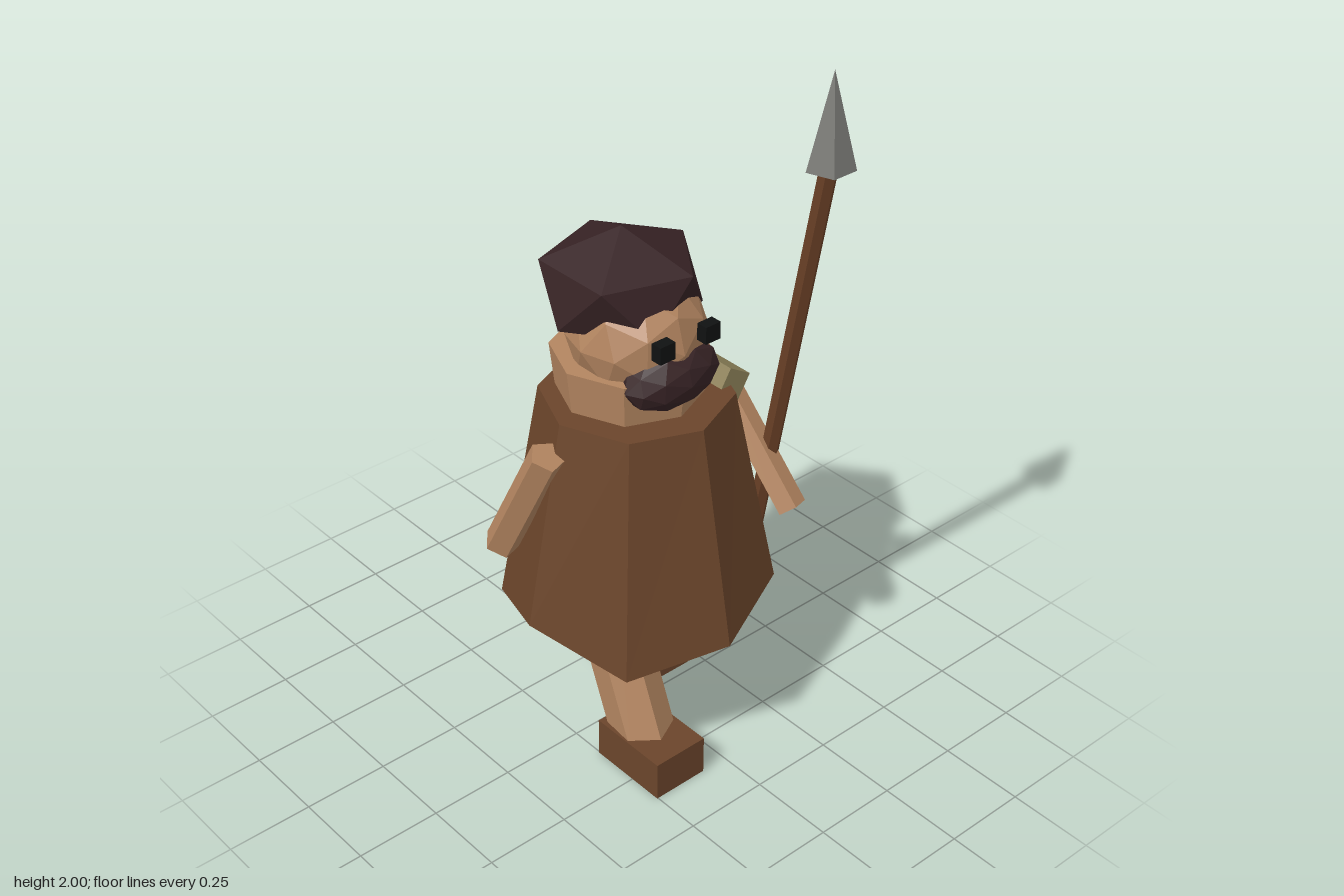
import * as THREE from 'three';

const paint = (name, color) => {
  const m = new THREE.MeshStandardMaterial({ color, flatShading: true });
  m.name = name;
  return m;
};

export function createModel() {
  const skin = paint('skin', 0xb38560);
  const leather = paint('brown leather', 0x6b452b);
  const wood = paint('wood', 0x683f25);
  const hairDark = paint('dark hair', 0x372325);
  const olive = paint('olive cloth', 0x8d8159);
  const metal = paint('grey metal', 0x797975);
  const black = paint('black', 0x101212);

  const model = new THREE.Group();
  model.name = 'spearman';

  const add = (name, geometry, material, x = 0, y = 0, z = 0) => {
    const mesh = new THREE.Mesh(geometry, material);
    mesh.name = name;
    mesh.position.set(x, y, z);
    model.add(mesh);
    return mesh;
  };

  // A straight faceted limb or pole between two points
  const limb = (name, a, b, radius, sides, material) => {
    const from = new THREE.Vector3(...a), to = new THREE.Vector3(...b);
    const dir = to.clone().sub(from);
    const mesh = add(name, new THREE.CylinderGeometry(radius, radius, dir.length(), sides), material);
    mesh.position.copy(from).add(to).multiplyScalar(0.5);
    mesh.quaternion.setFromUnitVectors(new THREE.Vector3(0, 1, 0), dir.normalize());
    return mesh;
  };

  // Eight-sided cloak with an uneven hem
  const hem = [0.435, 0.48, 0.475, 0.38, 0.475, 0.385, 0.475, 0.385];
  const cloak = new THREE.CylinderGeometry(0.265, 0.385, 1.075, 8, 1);
  cloak.translate(0, 1.075 / 2, 0);
  const p = cloak.attributes.position;
  for (let i = 0; i < p.count; i++) {
    if (p.getY(i) > 0.5) continue;
    const x = p.getX(i), z = p.getZ(i);
    const step = Math.round(Math.atan2(x, z) / (Math.PI / 4) + 8) % 8;
    p.setY(i, Math.hypot(x, z) < 0.01 ? 0.44 : hem[step]);
  }
  add('cloak', cloak, leather, -0.02, 0, 0);

  // Neck collar and head
  add('collar', new THREE.CylinderGeometry(0.217, 0.195, 0.2, 8), skin, -0.02, 1.1, -0.025);
  const head = add('head', new THREE.IcosahedronGeometry(0.2, 1), skin, -0.02, 1.265, 0);
  head.scale.set(0.95, 0.95, 0.95);

  // Hair: a squashed icosahedron standing on one corner
  const hair = new THREE.IcosahedronGeometry(0.24, 0);
  hair.rotateZ(-Math.atan(2 / (1 + Math.sqrt(5))));
  hair.scale(1, 0.67, 1);
  add('hair', hair, hairDark, -0.02, 1.382, -0.06);

  // Beard
  const beard = new THREE.IcosahedronGeometry(1, 1);
  beard.scale(0.155, 0.09, 0.085);
  add('beard', beard, hairDark, -0.02, 1.185, 0.135);

  // Eyes
  for (const x of [-0.1, 0.055]) {
    add('eye', new THREE.BoxGeometry(0.05, 0.05, 0.034), black, x, 1.315, 0.197);
  }

  // Tilted shoulder pad
  const pad = add('shoulderPad', new THREE.BoxGeometry(0.083, 0.118, 0.3), olive, 0.186, 1.056, 0);
  pad.rotation.z = -0.55;

  // Arms
  limb('leftArm', [0.287, 0.99, -0.005], [0.33, 0.66, 0.25], 0.045, 5, skin);
  limb('rightArm', [-0.328, 0.995, 0.0], [-0.355, 0.63, -0.18], 0.05, 5, skin);

  // Striding legs and shoes
  limb('leftLeg', [0.105, 0.6, 0.03], [0.117, 0.06, -0.205], 0.088, 6, skin);
  limb('rightLeg', [-0.155, 0.6, -0.03], [-0.167, 0.06, 0.21], 0.09, 6, skin);
  add('leftShoe', new THREE.BoxGeometry(0.172, 0.12, 0.247), leather, 0.12, 0.06, -0.153);
  add('rightShoe', new THREE.BoxGeometry(0.172, 0.12, 0.25), leather, -0.167, 0.06, 0.23);

  // Spear
  limb('spearShaft', [0.335, 0.125, 0.03], [0.335, 1.74, 0.325], 0.026, 6, wood);
  const tip = add('spearHead', new THREE.ConeGeometry(0.068, 0.265, 5), metal, 0.335, 1.8675, 0.327);
  tip.rotation.y = Math.PI;

  return model;
}
